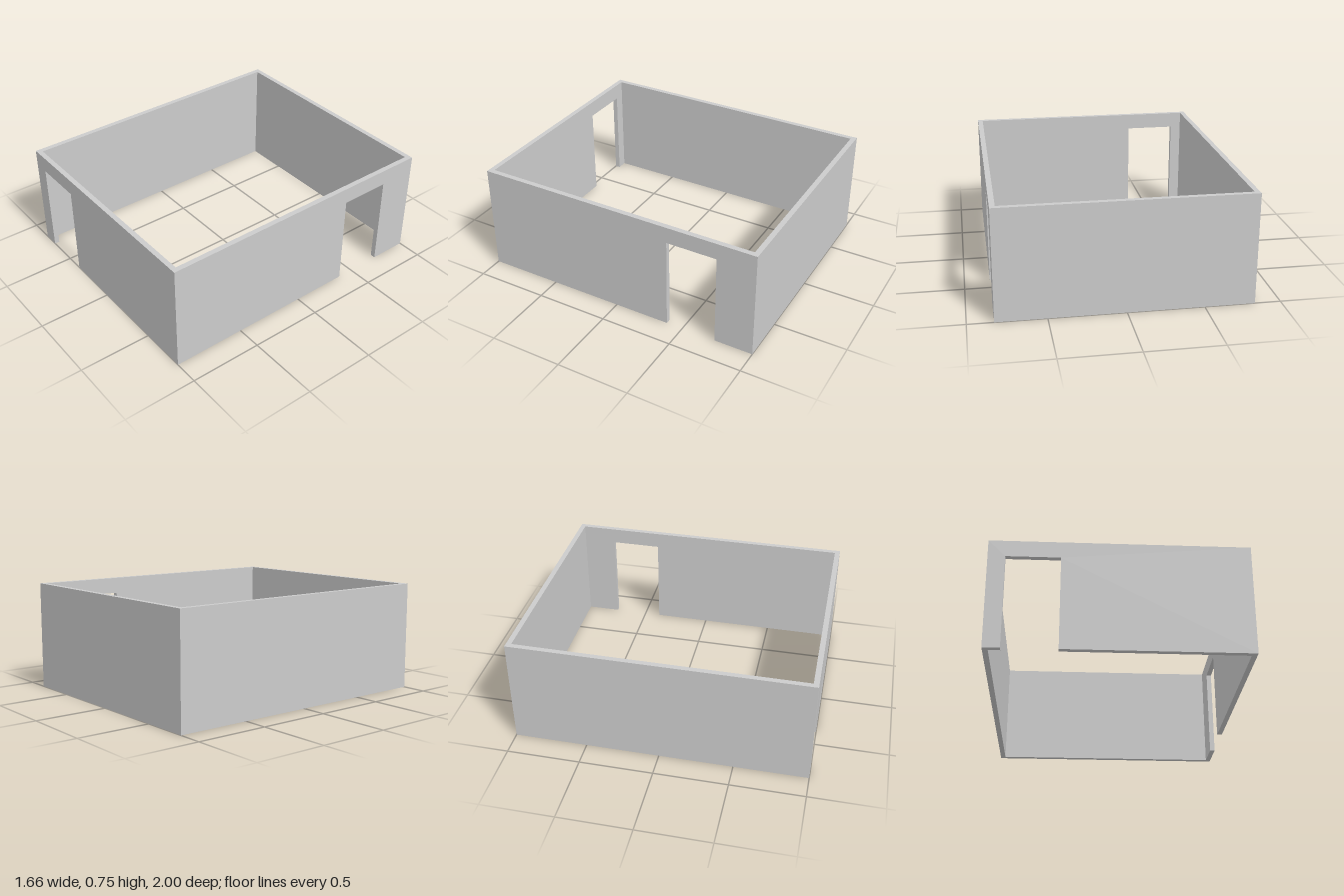
import * as THREE from 'three';

const W = 0.83, D = 1, H = 0.747, T = 0.035; // half width, half depth, height, wall thickness
const DOOR_H = 0.635;

// Upright wall from a to b along its length, with an optional doorway [start, end]
function wall(name, a, b, door, material) {
  const pts = [[a, 0]];
  if (door) pts.push([door[0], 0], [door[0], DOOR_H], [door[1], DOOR_H], [door[1], 0]);
  pts.push([b, 0], [b, H], [a, H]);
  const shape = new THREE.Shape(pts.map(([x, y]) => new THREE.Vector2(x, y)));
  const geometry = new THREE.ExtrudeGeometry(shape, { depth: T, bevelEnabled: false });
  const mesh = new THREE.Mesh(geometry, material);
  mesh.name = name;
  return mesh;
}

export function createModel() {
  const model = new THREE.Group();
  model.name = 'roomWalls';
  const material = new THREE.MeshStandardMaterial({ color: 0xcccccc, flatShading: true });

  // Front and back walls span the full width
  const front = wall('frontWall', -W, W, [-0.72, -0.372], material);
  front.position.z = D - T;
  const back = wall('backWall', -W, W, null, material);
  back.position.z = -D;

  // Side walls fit between them; turned so their length runs towards -z
  const left = wall('leftWall', -D + T, D - T, [0.386, 0.734], material);
  left.position.x = W - T;
  const right = wall('rightWall', -D + T, D - T, null, material);
  right.position.x = -W;
  for (const side of [left, right]) side.rotation.y = Math.PI / 2;

  model.add(front, back, left, right);
  return model;
}
